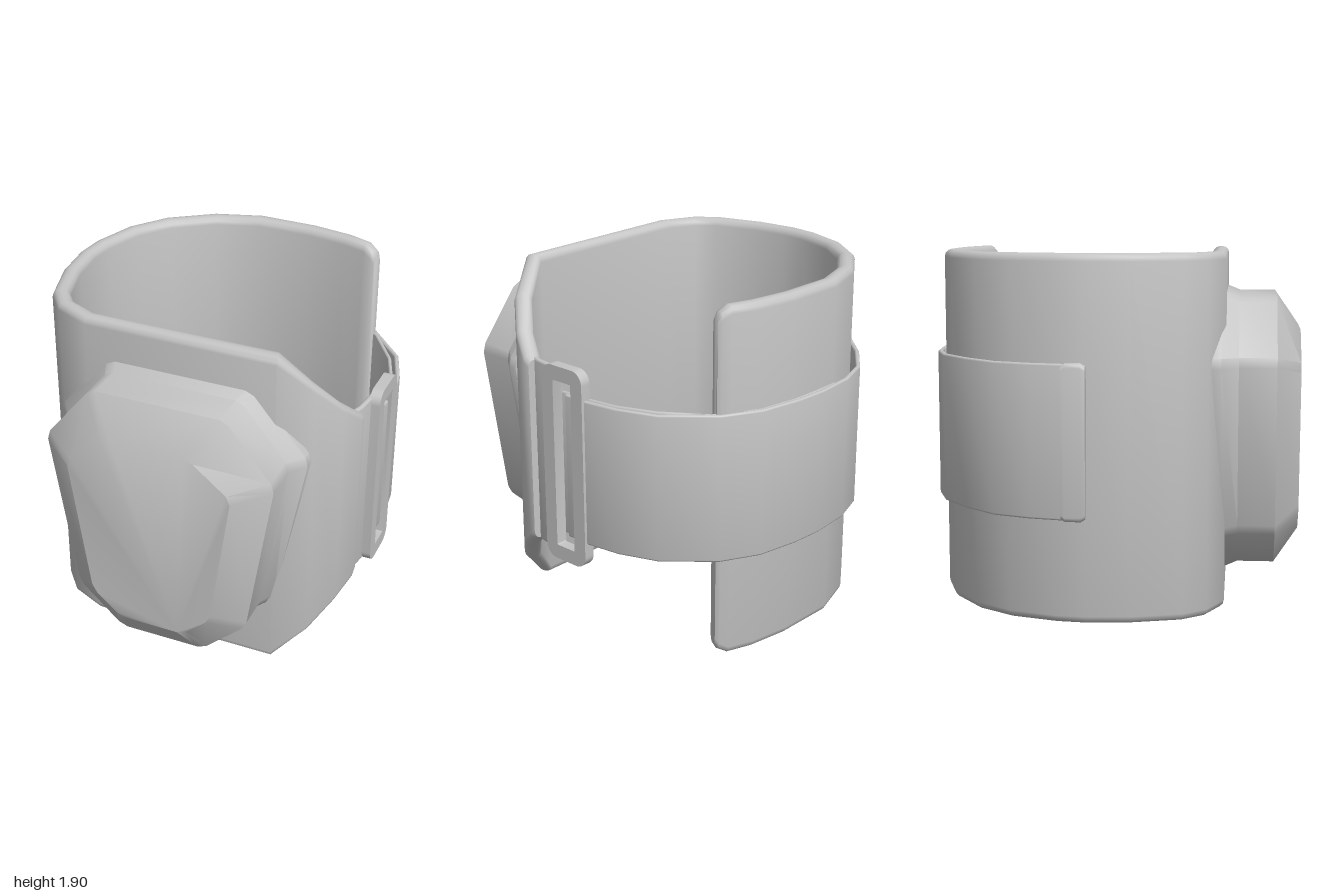
import * as THREE from 'three';
import { toCreasedNormals } from 'three/addons/utils/BufferGeometryUtils.js';

const MID = 0.95; // height of the horizontal symmetry plane

// Solid skin through matching rings of [x, y, z], capped at both ends
function loft(rings, crease = 0.7) {
  const n = rings[0].length, index = [];
  for (let r = 0; r < rings.length - 1; r++) {
    for (let i = 0; i < n; i++) {
      const j = (i + 1) % n, a = r * n, b = a + n;
      index.push(a + i, b + i, a + j, a + j, b + i, b + j);
    }
  }
  const last = (rings.length - 1) * n;
  for (let i = 1; i < n - 1; i++) {
    index.push(0, i, i + 1, last, last + i + 1, last + i);
  }
  const g = new THREE.BufferGeometry();
  g.setAttribute('position', new THREE.Float32BufferAttribute(rings.flat(2), 3));
  g.setIndex(index);
  return toCreasedNormals(g, crease);
}

// Rounded upright cross-section as [outward offset, height]
function section(thick, h, scale) {
  const r = thick * 0.42, pts = [];
  const corners = [[thick - r, r - h], [thick - r, h - r], [r, h - r], [r, r - h]];
  corners.forEach(([d, y], q) => {
    for (let k = 0; k <= 3; k++) {
      const a = (q - 1 + k / 3) * Math.PI / 2;
      const out = d + r * Math.cos(a);
      pts.push([thick / 2 + (out - thick / 2) * scale, y + r * Math.sin(a)]);
    }
  });
  return pts;
}

// Band along inner-face stations [x, z, halfHeight, thicknessScale]
function band(stations, thick, height) {
  const P = stations.map(([x, z]) => new THREE.Vector2(x, z));
  const dir = (i) => P[i + 1].clone().sub(P[i]).normalize();
  const rings = stations.map(([x, z, h = height, s = 1], i) => {
    const t = dir(Math.max(i - 1, 0)).add(dir(Math.min(i, P.length - 2))).normalize();
    return section(thick, h, s).map(([d, y]) => [x - t.y * d, MID + y, z + t.x * d]);
  });
  return loft(rings);
}

// Mirrored eight-sided outline with softened corners, counter-clockwise
function padRing(half, z) {
  const pts = [...half.map(([x, y]) => [x, y]), ...half.map(([x, y]) => [-x, y]).reverse()];
  const out = [], n = pts.length, mix = (a, b, t) => a + (b - a) * t;
  pts.forEach((p, i) => {
    for (const q of [pts[(i + n - 1) % n], pts[(i + 1) % n]]) {
      const t = 0.03 / Math.hypot(q[0] - p[0], q[1] - p[1]);
      out.push([0.035 + mix(p[0], q[0], t), mix(p[1], q[1], t), z]);
    }
  });
  return out;
}

function roundedRect(target, w, h, r) {
  const x = w / 2 - r, y = h / 2 - r, q = Math.PI / 2;
  target.absarc(x, y, r, 0, q);
  target.absarc(-x, y, r, q, 2 * q);
  target.absarc(-x, -y, r, 2 * q, 3 * q);
  target.absarc(x, -y, r, 3 * q, 4 * q);
  target.closePath();
  return target;
}

export function createModel() {
  const model = new THREE.Group();
  model.name = 'armCuff';
  const grey = new THREE.MeshStandardMaterial({ color: 0xc4c4c4 });
  grey.name = 'plain grey';
  const add = (name, geometry) => {
    const m = new THREE.Mesh(geometry, grey);
    m.name = name;
    model.add(m);
    return m;
  };

  // Open cuff, from its back end round to the tapered front tab
  add('cuff', band([
    [0.59, -0.75, 0.89, 0.55], [0.575, -0.757, 0.92, 0.8], [0.53, -0.775, 0.95, 0.9],
    [0.4, -0.82], [0.185, -0.855], [-0.13, -0.86], [-0.365, -0.785], [-0.58, -0.635],
    [-0.71, -0.46], [-0.785, -0.235], [-0.8, -0.1], [-0.78, 0.11], [-0.71, 0.35],
    [-0.635, 0.44], [-0.475, 0.51], [0.54, 0.51], [0.68, 0.435, 0.78], [0.77, 0.33, 0.63],
    [0.82, 0.23, 0.53], [0.828, 0.205, 0.51, 0.75],
  ], 0.095, 0.95));

  // Thin tab joining the cuff to the buckle
  add('buckleTab', band([[0.83, 0.26], [0.855, 0.18], [0.868, 0.08], [0.872, 0.02]], 0.03, 0.52));

  // Doubled strap: inner layer from the buckle, outer layer to the far side
  add('innerStrap', band([
    [0.88, -0.01], [0.875, -0.2], [0.855, -0.36], [0.78, -0.56], [0.63, -0.79],
    [0.41, -0.915], [0.185, -0.952], [0, -0.958], [-0.14, -0.955],
  ].reverse().map(([x, z]) => [x, z]).reverse().map((p) => p), 0.02, 0.4));
  add('outerStrap', band([
    [0.9, -0.06], [0.905, -0.2], [0.88, -0.39], [0.805, -0.6], [0.605, -0.825],
    [0.41, -0.925], [0.18, -0.965], [0, -0.975], [-0.235, -0.955], [-0.435, -0.888],
    [-0.64, -0.733], [-0.797, -0.568], [-0.87, -0.385], [-0.91, -0.2], [-0.915, -0.12],
  ], 0.025, 0.4));
  // Strap loop closing round the buckle bar
  add('strapFold', new THREE.BoxGeometry(0.04, 0.79, 0.04)).position.set(0.895, MID, -0.1);
  // Stitched strap end
  add('strapEnd', band([
    [-0.9, -0.22, 0.39], [-0.9, -0.2], [-0.9, -0.12], [-0.9, -0.095, 0.39],
  ], 0.06, 0.405));

  // Slotted buckle
  const frame = roundedRect(new THREE.Shape(), 0.29, 1.09, 0.07);
  frame.holes.push(roundedRect(new THREE.Path(), 0.13, 0.93, 0.006));
  const buckle = new THREE.ExtrudeGeometry(frame, { depth: 0.06, bevelEnabled: false, curveSegments: 5 });
  buckle.rotateY(Math.PI / 2);
  add('buckle', toCreasedNormals(buckle, 0.6)).position.set(0.886, 0.955, -0.055);

  // Faceted front pad: face, bevel, wall and flared foot, front to back
  const foot = [[0.24, 0.14], [0.53, 0.4], [0.705, 1.33], [0.4, 1.69]];
  const wall = [[0.24, 0.18], [0.49, 0.41], [0.635, 1.33], [0.37, 1.655]];
  const face = [[0.18, 0.36], [0.34, 0.5], [0.455, 1.29], [0.23, 1.47]];
  add('frontPad', loft([
    padRing(face, 1), padRing(wall, 0.87), padRing(wall, 0.67),
    padRing(foot, 0.58), padRing(foot, 0.53),
  ], 0.62));

  return model;
}
